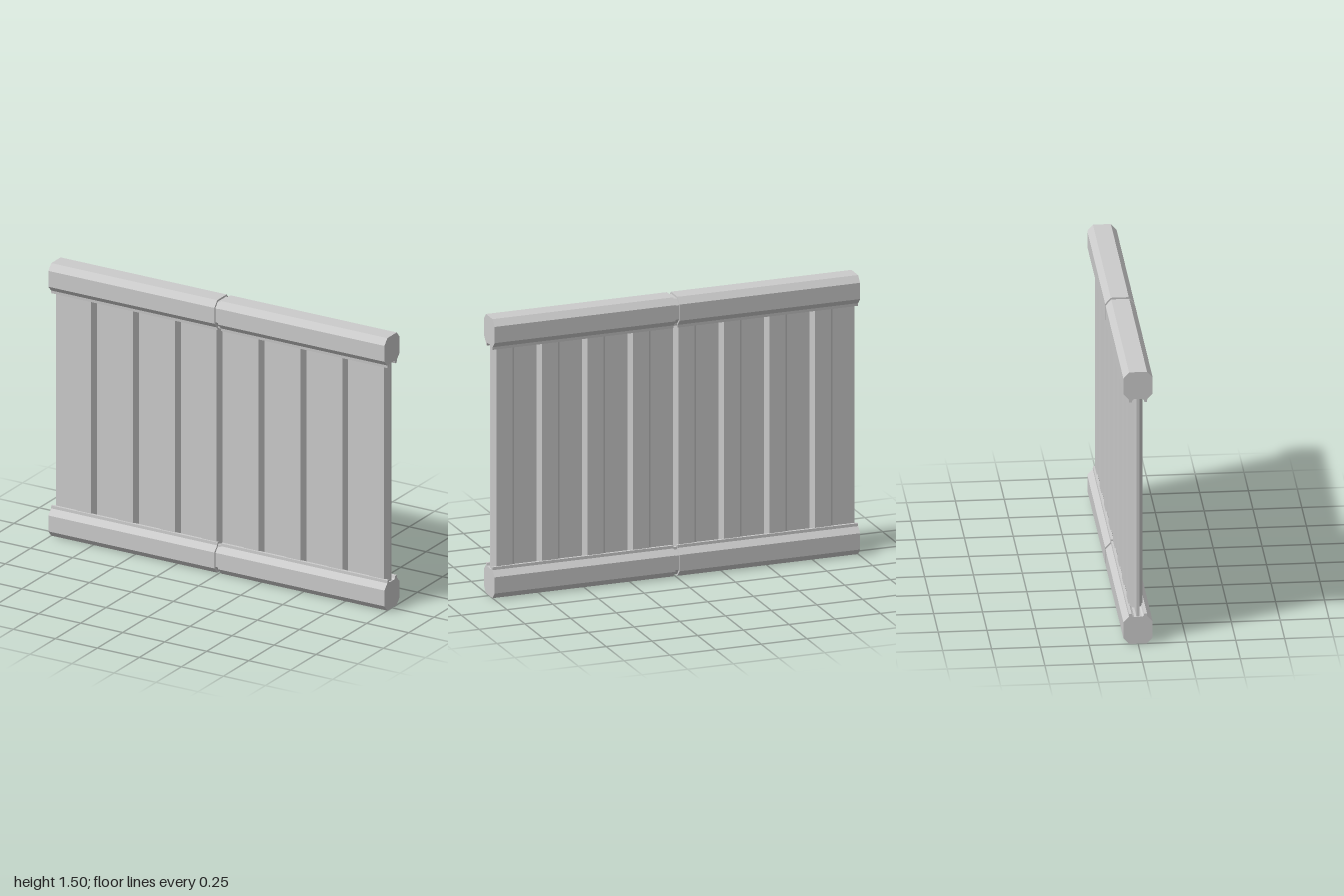
import * as THREE from 'three';

const material = new THREE.MeshStandardMaterial({ color: 0xcccccc, flatShading: true });
const SPLIT = [-0.012, 0.01]; // joint in the middle of each rail

// Lower rail section as (z, y): an octagon with two lips that grip the panel
const half = [
  [0.046, 0], [0.075, 0.033], [0.075, 0.12], [0.047, 0.15],
  [0.046, 0.165], [0.032, 0.165], [0.028, 0.152], [0.02, 0.148],
];
const section = [...half, ...half.map(([z, y]) => [-z, y]).reverse()];

function makeShape(points) {
  return new THREE.Shape(points.map(([a, b]) => new THREE.Vector2(a, b)));
}

// Extrudes a (z, y) section along x from x0 to x1
function extrudeAlongX(points, x0, x1) {
  const geometry = new THREE.ExtrudeGeometry(makeShape(points), { depth: x1 - x0, bevelEnabled: false });
  return geometry.rotateY(Math.PI / 2).translate(x0, 0, 0);
}

function addMesh(parent, name, geometry) {
  const mesh = new THREE.Mesh(geometry, material);
  mesh.name = name;
  parent.add(mesh);
}

function makeRail(name) {
  const rail = new THREE.Group();
  rail.name = name;
  addMesh(rail, 'rightRailHalf', extrudeAlongX(section, -1, SPLIT[0]));
  addMesh(rail, 'leftRailHalf', extrudeAlongX(section, SPLIT[1], 1));
  // slightly smaller core showing in the joint
  const core = section.map(([z, y]) => [z * 0.88, 0.08 + (y - 0.08) * 0.88]);
  addMesh(rail, 'jointCore', extrudeAlongX(core, SPLIT[0] - 0.005, SPLIT[1] + 0.005));
  return rail;
}

// Panel plan: narrow ridges on both faces between wide recessed flats
function makePanel() {
  const low = 0.008, high = 0.037;
  const edge = [[-0.995, low]];
  for (let i = 0; i < 8; i++) {
    const x = -1 + i * 0.249;
    edge.push([x + 0.125, low], [x + 0.145, high], [x + 0.232, high], [x + 0.25, low]);
  }
  const outline = [...edge, ...edge.map(([x, z]) => [x, -z]).reverse()];
  const geometry = new THREE.ExtrudeGeometry(makeShape(outline), { depth: 1.2, bevelEnabled: false });
  return geometry.rotateX(-Math.PI / 2).translate(0, 0.147, 0);
}

export function createModel() {
  const model = new THREE.Group();
  model.name = 'barrierPanel';

  addMesh(model, 'ribbedPanel', makePanel());
  model.add(makeRail('bottomRail'));

  // top rail is the bottom one turned over
  const topRail = makeRail('topRail');
  topRail.rotation.x = Math.PI;
  topRail.position.y = 1.495;
  model.add(topRail);

  return model;
}
